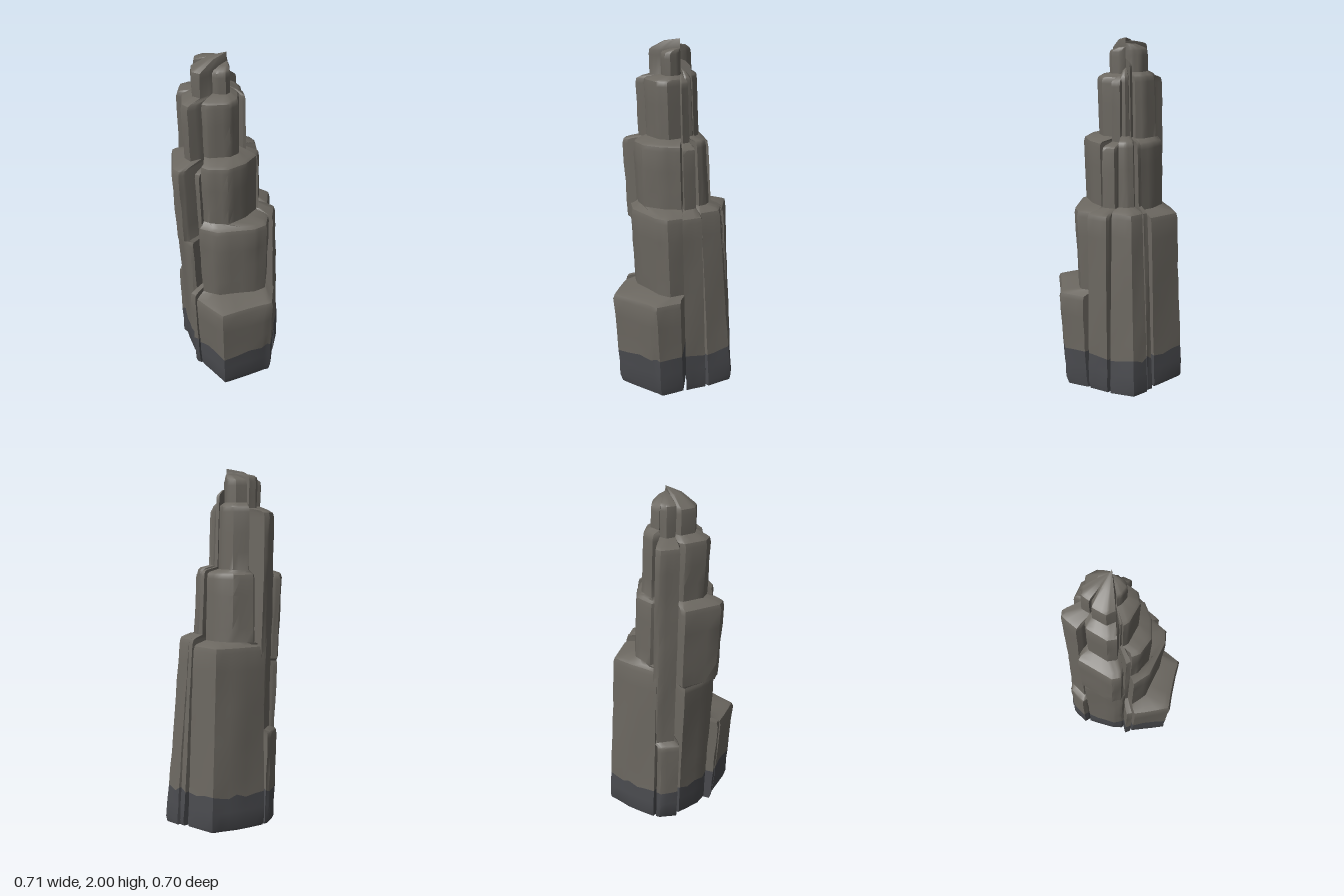
import * as THREE from 'three';
import { toCreasedNormals } from 'three/addons/utils/BufferGeometryUtils.js';

const rock = new THREE.MeshStandardMaterial({ color: 0x6b6760, side: THREE.DoubleSide });
const wetRock = new THREE.MeshStandardMaterial({ color: 0x4a4b4f, side: THREE.DoubleSide });
const BAND = 0.225; // height of the dark foot
const SUB = 3;      // subdivisions along each outline edge

// Each shard is a wedge around the leaning axis. A tier is [top height, ...outline points [x, z]].
// Flare widens a tier toward its bottom; rise is how far the summit climbs to the axis.
const shards = {
  frontShard: { flare: -0.1, rise: 0.02, tiers: [
    [0.585, [-0.305, 0.07], [-0.27, 0.285], [-0.02, 0.335], [0.04, 0.345], [0.138, 0.24]],
    [1.07, [-0.268, 0.06], [-0.21, 0.15], [-0.02, 0.24], [0.06, 0.245], [0.125, 0.175]],
    [1.45, [-0.24, 0.045], [-0.22, 0.09], [-0.14, 0.15], [-0.02, 0.15], [0.075, 0.115]],
    [1.79, [-0.2, 0], [-0.18, 0.03], [-0.08, 0.085], [-0.02, 0.075], [0.03, 0.01]],
    [1.93, [-0.11, -0.03], [-0.1, -0.01], [-0.06, 0.02], [-0.03, 0.015], [0, -0.03]],
  ] },
  frontRightShard: { flare: 0.07, rise: 0.03, tiers: [
    [1.07, [0.115, 0.165], [0.13, 0.2], [0.21, 0.12], [0.195, 0.09]],
    [1.43, [0.075, 0.09], [0.09, 0.105], [0.135, 0.05], [0.125, 0.03]],
    [1.78, [0.035, 0.03], [0.05, 0.04], [0.07, 0], [0.06, -0.015]],
  ] },
  rightShard: { flare: 0.27, rise: 0.04, tiers: [
    [1.08, [0.175, 0.075], [0.19, 0.08], [0.26, -0.01], [0.238, -0.08], [0.215, -0.08]],
    [1.46, [0.125, 0.02], [0.135, 0.025], [0.155, -0.01], [0.155, -0.05], [0.14, -0.06]],
    [1.8, [0.045, -0.01], [0.055, -0.01], [0.07, -0.03], [0.065, -0.05], [0.055, -0.055]],
  ] },
  rightFin: { flare: 0.2, rise: 0.03, tiers: [
    [1.08, [0.24, -0.087], [0.23, -0.112]],
    [1.45, [0.16, -0.075], [0.15, -0.095]],
    [1.86, [0.06, -0.06], [0.05, -0.075]],
  ] },
  backRightShard: { flare: 0.1, rise: 0.03, tiers: [
    [1.05, [0.235, -0.135], [0.178, -0.305], [0.05, -0.315], [-0.11, -0.305], [-0.115, -0.28]],
    [1.44, [0.135, -0.1], [0.11, -0.17], [0.05, -0.25], [-0.06, -0.275], [-0.085, -0.24]],
    [1.8, [0.055, -0.09], [0.06, -0.14], [0.03, -0.21], [-0.05, -0.24], [-0.07, -0.2]],
    [1.94, [0.02, -0.08], [0.028, -0.13], [0, -0.18], [-0.06, -0.19], [-0.05, -0.15]],
  ] },
  backShard: { flare: 0, rise: 0.02, tiers: [
    [0.56, [-0.115, -0.29], [-0.125, -0.325], [-0.15, -0.32], [-0.222, -0.25], [-0.205, -0.225]],
    [1.77, [-0.095, -0.265], [-0.11, -0.305], [-0.14, -0.3], [-0.21, -0.23], [-0.185, -0.195]],
    [1.96, [-0.05, -0.16], [-0.07, -0.2], [-0.11, -0.2], [-0.14, -0.16], [-0.12, -0.14]],
  ] },
  leftShard: { flare: -0.07, rise: 0.06, tiers: [
    [0.94, [-0.215, -0.22], [-0.24, -0.222], [-0.295, -0.06], [-0.292, -0.005], [-0.28, 0.01]],
    [1.43, [-0.215, -0.23], [-0.25, -0.237], [-0.357, -0.06], [-0.347, -0.01], [-0.31, 0]],
    [1.78, [-0.17, -0.19], [-0.21, -0.18], [-0.275, -0.08], [-0.265, -0.03], [-0.2, -0.02]],
    [1.94, [-0.12, -0.15], [-0.165, -0.15], [-0.205, -0.08], [-0.185, -0.035], [-0.1, -0.035]],
  ] },
  leftFin: { flare: -0.1, rise: 0.03, tiers: [
    [0.6, [-0.318, 0.022], [-0.308, 0.055]],
    [1.4, [-0.26, 0.015], [-0.25, 0.04]],
    [1.75, [-0.18, -0.015], [-0.17, -0.002]],
  ] },
};

const axisAt = (y) => [-0.025 * (y - 1.9), -0.055 + 0.008 * (y - 1.9)];
const wobble = (a, b, c) => Math.sin(a * 7.3 + b * 17.1) * Math.cos(c * 2.7 + b * 9.4 + a * 3.1);
const reach = ([, ...pts]) => Math.max(...pts.map(([x, z]) => Math.hypot(x, z + 0.055)));

// One cross-section: the axis point followed by the subdivided, weathered outline
function ring([top, ...pts], y, inset, seed, flare) {
  const [ax, az] = axisAt(y), [tx, tz] = axisAt(top);
  const out = [[ax, y, az]];
  for (let i = 0; i < pts.length; i++) {
    for (let k = 0; k < (i < pts.length - 1 ? SUB : 1); k++) {
      const [x0, z0] = pts[i], [x1, z1] = pts[i + 1] ?? pts[i], t = k / SUB;
      const s = (1 - inset) * (1 + flare * (top - y)) * (1 + 0.012 * wobble(seed, y, i + t));
      const x = ax + (x0 + (x1 - x0) * t - tx) * s;
      const z = az + (z0 + (z1 - z0) * t - tz) * s;
      const lift = y === BAND ? 0.012 * Math.sin(x * 45 + z * 60) : 0;
      out.push([x, y + lift, z]);
    }
  }
  return out;
}

// Skin a stack of rings, closing either end with a fan from the axis
function loft(rings, closeBottom, closeTop) {
  const n = rings[0].length, index = [];
  for (let r = 0; r < rings.length - 1; r++) {
    for (let i = 0; i < n; i++) {
      const a = r * n + i, b = r * n + (i + 1) % n;
      index.push(a, b, b + n, a, b + n, a + n);
    }
  }
  const last = (rings.length - 1) * n;
  for (let i = 1; i < n - 1; i++) {
    if (closeBottom) index.push(0, i + 1, i);
    if (closeTop) index.push(last, last + i, last + i + 1);
  }
  const geo = new THREE.BufferGeometry();
  geo.setAttribute('position', new THREE.Float32BufferAttribute(rings.flat(2), 3));
  geo.setIndex(index);
  return toCreasedNormals(geo, 0.7);
}

function makeShard(name, { flare, rise, tiers }, seed) {
  const cut = (tier, y, inset = 0) => ring(tier, y, inset, seed, flare);
  // dark foot, with a chamfered underside that rises toward the back
  const first = tiers[0];
  const foot = [cut(first, 0, 0.03), cut(first, 0.05), cut(first, 0.14), cut(first, BAND)];
  for (const p of foot[0]) p[1] = Math.max(0, 0.017 - 0.055 * p[2]);

  // stepped column, each tier ending in a rounded ledge, or a faint seam where the next is as wide
  const column = [foot[3]];
  let y0 = BAND;
  tiers.forEach((tier, t) => {
    const top = tier[0], next = tiers[t + 1];
    const inset = next && reach(next) > 0.88 * reach(tier) ? 0.02 : 0.1;
    if (t > 0) column.push(cut(tier, y0 + 0.015));
    const steps = Math.max(1, Math.round((top - y0) / 0.11));
    for (let k = 1; k < steps; k++) column.push(cut(tier, y0 + (top - 0.035 - y0) * k / steps));
    column.push(cut(tier, top - 0.035), cut(tier, top - 0.01, inset / 4), cut(tier, top, inset));
    y0 = top;
  });
  // blunt summit
  const summit = cut(tiers.at(-1), y0 + rise * 0.7, 0.5);
  summit[0][1] = y0 + rise;
  column.push(summit);

  const group = new THREE.Group();
  group.name = name;
  const add = (part, geo, material) => {
    const mesh = new THREE.Mesh(geo, material);
    mesh.name = part;
    group.add(mesh);
  };
  add('darkFoot', loft(foot, true, false), wetRock);
  add('steppedColumn', loft(column, false, true), rock);
  return group;
}

export function createModel() {
  const model = new THREE.Group();
  model.name = 'rockSpire';
  Object.entries(shards).forEach(([name, shard], i) => model.add(makeShard(name, shard, i + 1)));
  return model;
}
